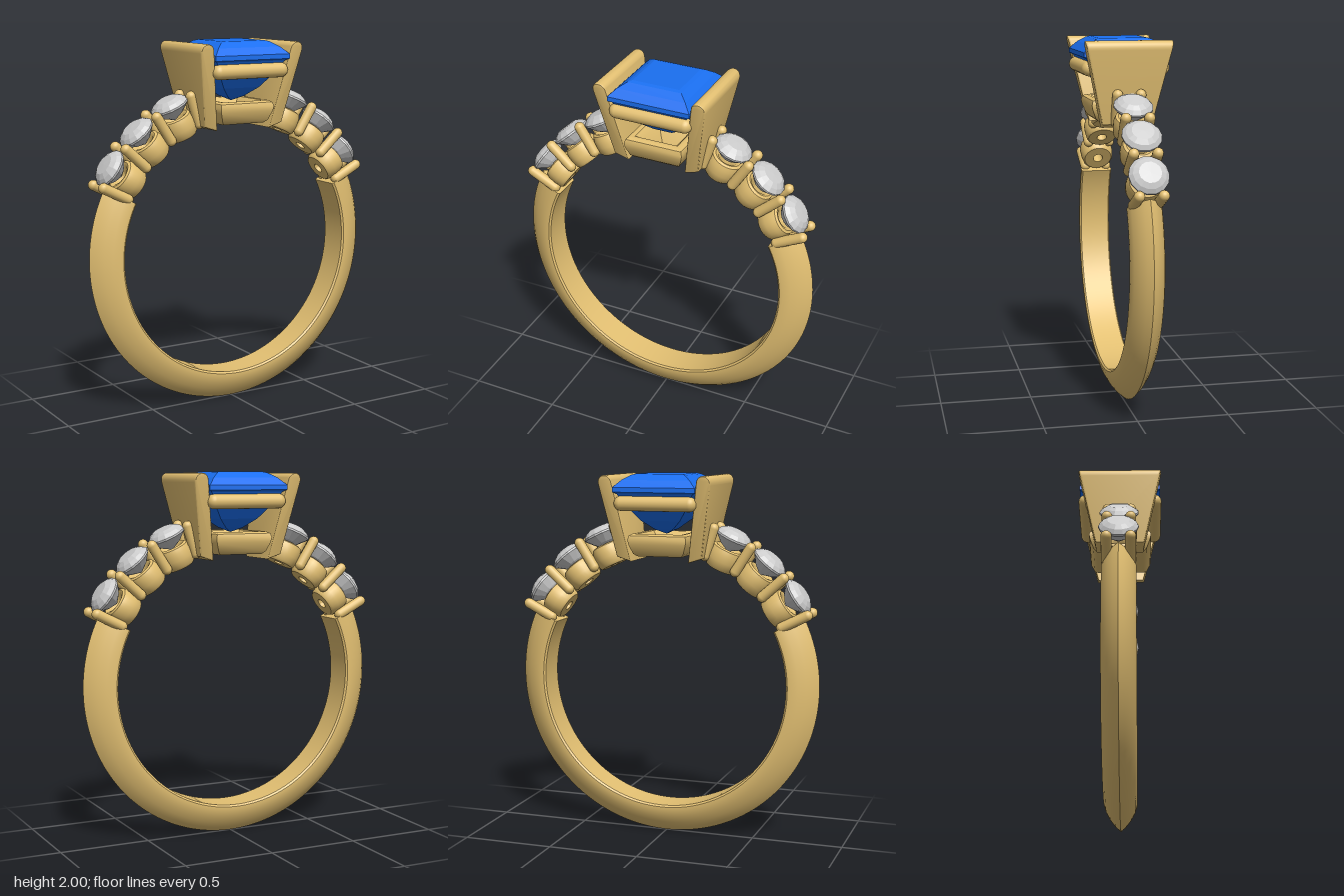
import * as THREE from 'three';
import { toCreasedNormals } from 'three/addons/utils/BufferGeometryUtils.js';

const CENTRE_Y = 0.865;
const deg = THREE.MathUtils.degToRad;
const gold = new THREE.MeshStandardMaterial({ color: 0xe3c072 });
const goldFlat = new THREE.MeshStandardMaterial({ color: 0xe3c072, side: THREE.DoubleSide });
const blue = new THREE.MeshStandardMaterial({ color: 0x1a6ff0, flatShading: true });
const grey = new THREE.MeshStandardMaterial({ color: 0xcccccc, flatShading: true });
const vecs = (list) => list.map(([x, y]) => new THREE.Vector2(x, y));

function add(parent, name, geometry, material, x = 0, y = 0, z = 0) {
  const mesh = new THREE.Mesh(geometry, material);
  mesh.name = name;
  mesh.position.set(x, y, z);
  parent.add(mesh);
  return mesh;
}

// Four-sided lathe whose profile gives half-widths instead of radii
function squareLathe(profile) {
  const points = vecs(profile.map(([w, y]) => [w * Math.SQRT2, y]));
  return new THREE.LatheGeometry(points, 4, Math.PI / 4);
}

// Group at the ring centre whose local y points outwards at the given angle
function spoke(parent, name, angle) {
  const group = new THREE.Group();
  group.name = name;
  group.position.y = CENTRE_Y;
  group.rotation.z = deg(angle - 90);
  parent.add(group);
  return group;
}

// Knife-edged band, open at the top
function addBand(root) {
  const END = 26.5;
  const half = [[0.695, 0.082], [0.705, 0.09], [0.722, 0.09], [0.76, 0.078], [0.80, 0.056], [0.835, 0.029]];
  const lower = half.map(([r, z]) => [r, -z]);
  const profile = [...lower, [0.86, 0], ...half.slice().reverse()];
  const band = new THREE.Group();
  band.name = 'band';
  band.position.y = CENTRE_Y;
  root.add(band);
  const geometry = new THREE.LatheGeometry(
    vecs([...profile, profile[0]]), 120, -deg(90 + END), deg(180 + 2 * END));
  geometry.rotateX(Math.PI / 2);
  add(band, 'bandHoop', toCreasedNormals(geometry, 0.5), gold);
  for (const angle of [END, 180 - END]) {
    const cap = new THREE.ShapeGeometry(new THREE.Shape(vecs(profile)));
    cap.rotateX(Math.PI / 2).rotateZ(deg(angle));
    add(band, 'bandEnd', cap, goldFlat);
  }
}

// Three round stones in cups on each shoulder, with shared prongs between them
function addShoulders(root) {
  const stone = new THREE.LatheGeometry(vecs([
    [0, 0.80], [0.058, 0.835], [0.104, 0.88], [0.104, 0.89], [0.085, 0.91], [0.058, 0.925], [0, 0.927],
  ]), 14);
  const cup = toCreasedNormals(new THREE.LatheGeometry(vecs([
    [0.028, 0.70], [0.078, 0.70], [0.088, 0.712], [0.094, 0.75], [0.094, 0.79], [0.086, 0.815],
    [0.072, 0.822], [0.055, 0.815], [0.028, 0.77], [0.028, 0.70],
  ]), 32), 0.7);
  const prong = new THREE.CapsuleGeometry(0.028, 0.155, 6, 16);
  for (const side of [1, -1]) {
    const turn = (a) => (side > 0 ? a : 180 - a);
    for (const angle of [34, 49.3, 64.6]) {
      const setting = spoke(root, 'sideSetting', turn(angle));
      add(setting, 'sideStone', stone, grey);
      add(setting, 'stoneCup', cup, gold);
    }
    for (const angle of [26.8, 41.7, 57, 71.5]) {
      const pair = spoke(root, 'prongPair', turn(angle));
      for (const z of [-0.062, 0.062]) add(pair, 'prong', prong, gold, 0, 0.818, z);
    }
  }
}

// Leaning side wall: rounded-top section stretched along z, wider towards the top
function wallGeometry() {
  const shape = new THREE.Shape();
  shape.moveTo(0.162, 1.53);
  shape.lineTo(0.24, 1.555);
  shape.lineTo(0.312, 1.945);
  shape.bezierCurveTo(0.32, 2.005, 0.243, 2.01, 0.234, 1.96);
  shape.closePath();
  const geometry = new THREE.ExtrudeGeometry(shape, {
    depth: 1.9, curveSegments: 16, bevelEnabled: true,
    bevelThickness: 0.05, bevelSize: 0.008, bevelOffset: -0.008, bevelSegments: 3,
  });
  geometry.translate(0, 0, -0.95);
  const p = geometry.attributes.position;
  for (let i = 0; i < p.count; i++) {
    const t = (p.getY(i) - 1.53) / 0.46;
    p.setZ(i, p.getZ(i) * THREE.MathUtils.lerp(0.13, 0.234, t));
  }
  return toCreasedNormals(geometry, 0.6);
}

function addHead(root) {
  const head = new THREE.Group();
  head.name = 'head';
  root.add(head);

  // Side walls
  const wall = wallGeometry();
  add(head, 'rightWall', wall.clone().rotateY(Math.PI), gold);
  add(head, 'leftWall', wall, gold);

  // Upper rails
  const rail = new THREE.CapsuleGeometry(0.04, 0.38, 8, 20).rotateZ(Math.PI / 2);
  for (const z of [-0.195, 0.195]) add(head, 'upperRail', rail, gold, 0, 1.845, z);

  // Lower square frame with an open centre, its underside following the finger hole
  const frame = squareLathe([
    [0.055, 1.56], [0.132, 1.56], [0.15, 1.575], [0.17, 1.625], [0.175, 1.65], [0.168, 1.672],
    [0.15, 1.682], [0.13, 1.68], [0.1, 1.65], [0.055, 1.56],
  ]);
  frame.scale(0.94, 1, 1);
  add(head, 'lowerFrame', toCreasedNormals(frame, 0.7), gold);

  // Square-cut centre stone
  add(head, 'centreStone', squareLathe([
    [0, 1.675], [0.05, 1.70], [0.11, 1.75], [0.16, 1.815], [0.21, 1.895], [0.228, 1.905],
    [0.228, 1.93], [0.19, 1.968], [0.15, 1.994], [0.13, 2.0], [0, 2.0],
  ]), blue);
}

export function createModel() {
  const root = new THREE.Group();
  root.name = 'ring';
  addBand(root);
  addShoulders(root);
  addHead(root);
  return root;
}
